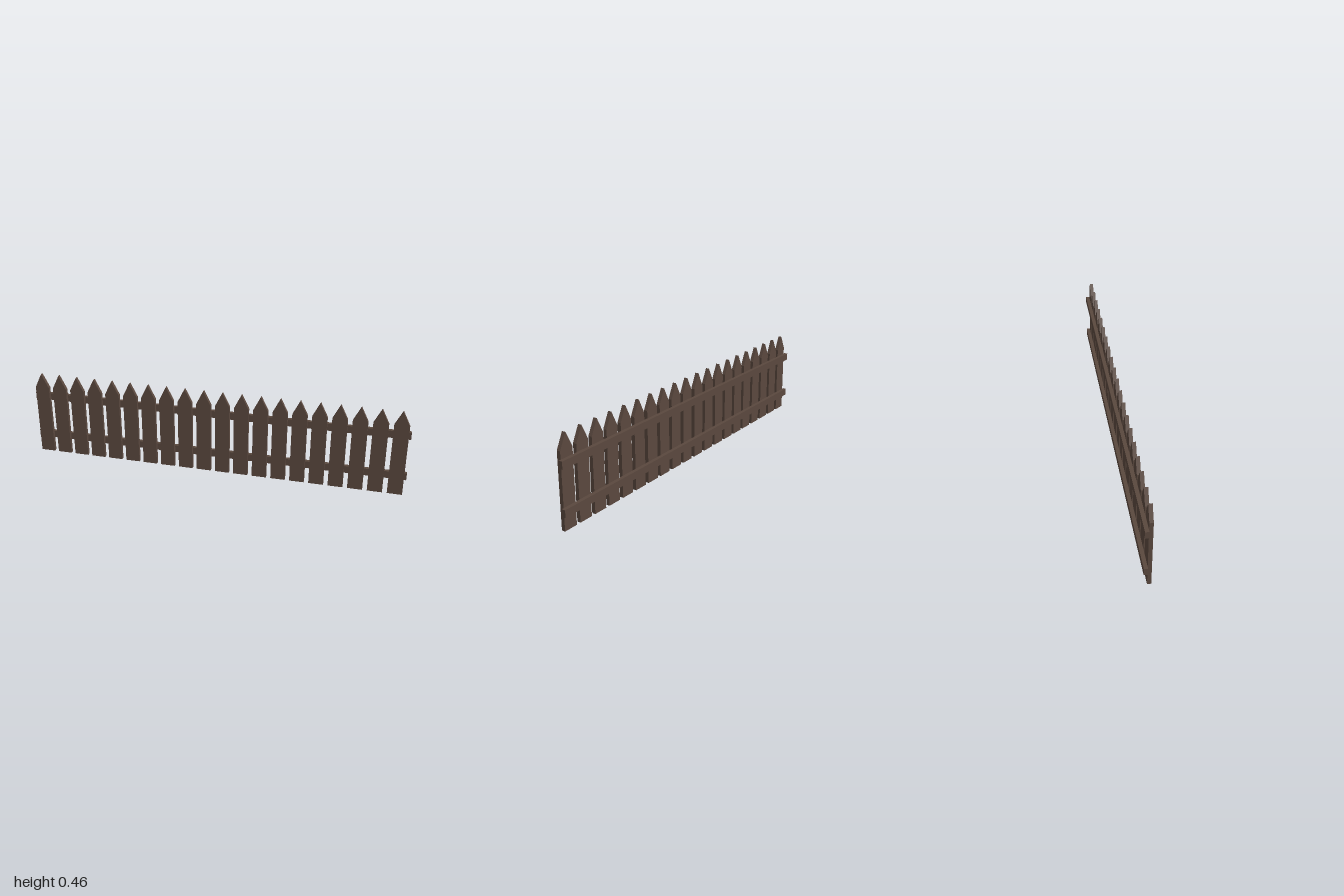
import * as THREE from 'three';

const COUNT = 20;
const SPACING = 0.1;
const THICKNESS = 0.019;

export function createModel() {
  const fence = new THREE.Group();
  fence.name = 'picketFence';
  const wood = new THREE.MeshStandardMaterial({ color: 0x5a483e, flatShading: true });

  // Pointed board outline, extruded forward from the rails
  const outline = new THREE.Shape([
    [-0.038, 0], [0.038, 0], [0.038, 0.379], [0, 0.455], [-0.038, 0.379],
  ].map(([x, y]) => new THREE.Vector2(x, y)));
  const picketGeometry = new THREE.ExtrudeGeometry(outline, { depth: THICKNESS, bevelEnabled: false });

  // Row of evenly spaced pickets
  const pickets = new THREE.Group();
  pickets.name = 'pickets';
  for (let i = 0; i < COUNT; i++) {
    const picket = new THREE.Mesh(picketGeometry, wood);
    picket.name = `picket${i + 1}`;
    picket.position.x = (i - (COUNT - 1) / 2) * SPACING;
    pickets.add(picket);
  }
  fence.add(pickets);

  // Two full-length rails behind the pickets
  const railGeometry = new THREE.BoxGeometry(2, 0.038, THICKNESS);
  for (const [name, y] of [['lowerRail', 0.095], ['upperRail', 0.322]]) {
    const rail = new THREE.Mesh(railGeometry, wood);
    rail.name = name;
    rail.position.set(0, y, -THICKNESS / 2);
    fence.add(rail);
  }

  return fence;
}
